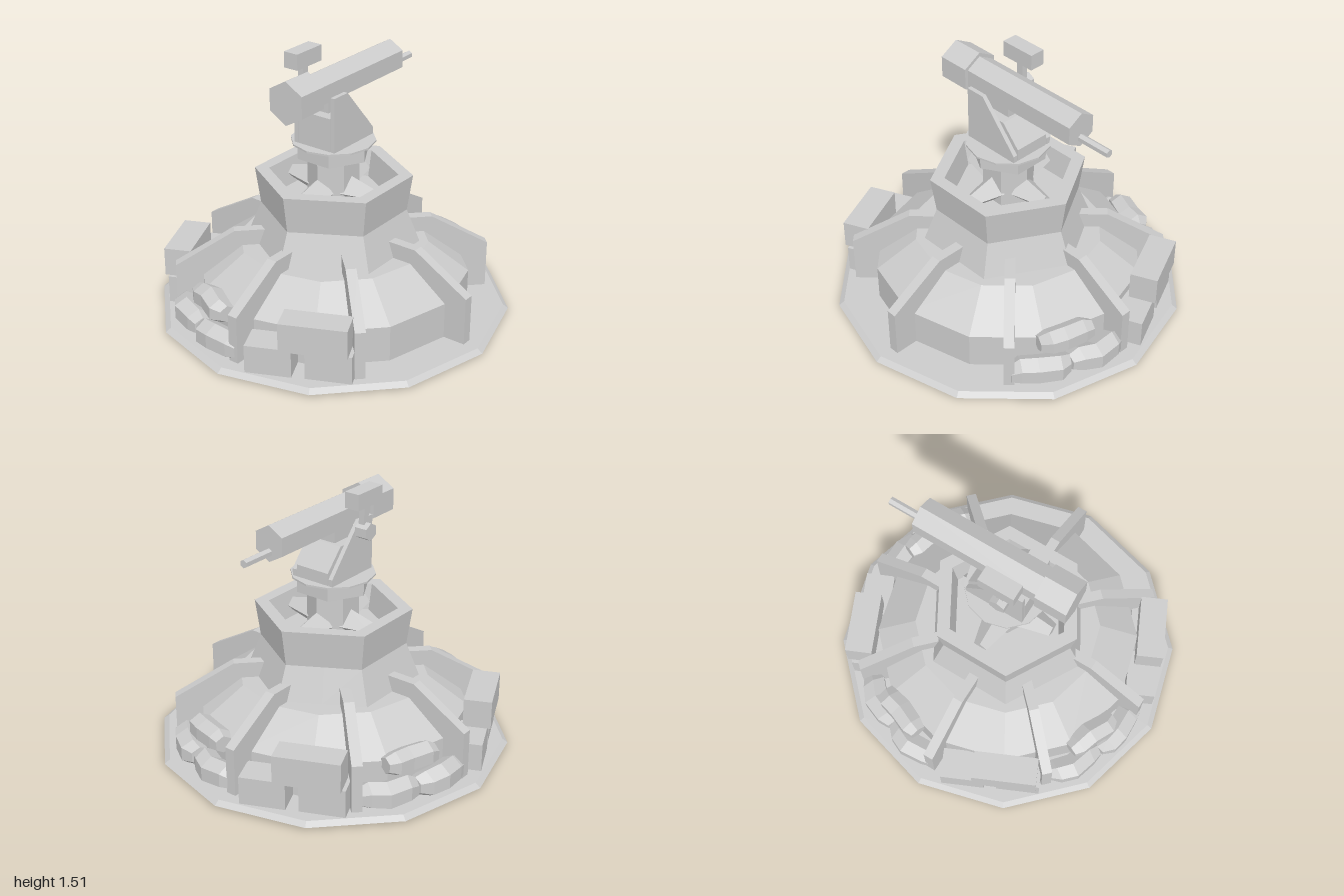
import * as THREE from 'three';

const stone = new THREE.MeshStandardMaterial({ color: 0xcccccc });
stone.name = 'plain grey';

function add(parent, name, geometry, x = 0, y = 0, z = 0) {
  const g = geometry.index ? geometry.toNonIndexed() : geometry;
  g.computeVertexNormals(); // one normal per face: faceted look
  const mesh = new THREE.Mesh(g, stone);
  mesh.name = name;
  mesh.position.set(x, y, z);
  parent.add(mesh);
  return mesh;
}

const box = (w, h, d) => new THREE.BoxGeometry(w, h, d);
const prism = (rTop, rBottom, h, sides) => new THREE.CylinderGeometry(rTop, rBottom, h, sides);

// Plate cut from an outline in x/y, centred on z
function plate(points, thickness) {
  const shape = new THREE.Shape(points.map(p => new THREE.Vector2(p[0], p[1])));
  return new THREE.ExtrudeGeometry(shape, { depth: thickness, bevelEnabled: false })
    .translate(0, 0, -thickness / 2);
}

// Loft of 12-point rings [radius, y, isHexagon]; hexagon rings use edge midpoints
function loft(rings) {
  const pos = [];
  const point = ([r, y, hex], i) => {
    const a = i * Math.PI / 6;
    const k = hex && i % 2 ? r * Math.cos(Math.PI / 6) : r;
    return [k * Math.sin(a), y, k * Math.cos(a)];
  };
  for (let j = 0; j < rings.length - 1; j++) {
    for (let i = 0; i < 12; i++) {
      const a = point(rings[j], i), b = point(rings[j], i + 1);
      const c = point(rings[j + 1], i + 1), d = point(rings[j + 1], i);
      if (rings[j][0] > 0) pos.push(...a, ...b, ...c);
      if (rings[j + 1][0] > 0) pos.push(...a, ...c, ...d);
      else if (rings[j][0] === 0) continue;
    }
  }
  const g = new THREE.BufferGeometry();
  g.setAttribute('position', new THREE.Float32BufferAttribute(pos, 3));
  return g;
}

// Group whose local +x points outward at an angle measured from +x towards +z
function around(parent, name, degrees) {
  const group = new THREE.Group();
  group.name = name;
  group.rotation.y = -THREE.MathUtils.degToRad(degrees);
  parent.add(group);
  return group;
}

// Faceted sandbag lying along z, sagging a little at its ends
function sandbag(length, height, depth, seed) {
  const profile = [[0, -0.5], [0.34, -0.5], [0.48, -0.33], [0.5, 0.05], [0.48, 0.33], [0.32, 0.5], [0, 0.5]];
  const g = new THREE.LatheGeometry(profile.map(p => new THREE.Vector2(p[0], p[1])), 6);
  g.rotateZ(Math.PI / 2).rotateY(Math.PI / 2).rotateZ(Math.PI / 6);
  g.scale(depth, height * 1.12, length);
  const p = g.attributes.position;
  for (let i = 0; i < p.count; i++) {
    const t = p.getZ(i) / length;
    p.setX(i, p.getX(i) + 0.012 * Math.sin(t * 7 + seed) - 0.08 * t * t);
    p.setY(i, p.getY(i) - 0.04 * t * t + 0.006 * Math.sin(t * 9 + seed * 2));
  }
  return g;
}

function addBase(root) {
  // Ground plate, hollowed slightly towards the middle underneath
  add(root, 'groundPlate', loft([[0, 0.06], [1, 0.012], [0.97, 0.035], [0.7, 0.035]]));
  add(root, 'bunkerBody', loft([
    [0.765, 0.005], [0.765, 0.24], [0.535, 0.41], [0.485, 0.41, true], [0.41, 0.6, true],
    [0.44, 0.81, true], [0.36, 0.81, true], [0.33, 0.66, true], [0, 0.66, true],
  ]));

  // Eight buttress fins
  const fin = [[0.3, 0], [0.89, 0], [0.89, 0.31], [0.56, 0.5], [0.34, 0.5]];
  for (let i = 0; i < 8; i++) {
    add(around(root, 'buttress', i * 45), 'buttressFin', plate(fin, 0.058), 0, 0, -0.016);
  }

  // Crates and sandbags on three of the four sides
  for (let i = 0; i < 3; i++) {
    const crates = around(root, 'crateStack', 65 + i * 90.5);
    add(crates, 'lowerCrate', box(0.17, 0.19, 0.25), 0.81, 0.1, 0.155);
    add(crates, 'lowerCrate', box(0.17, 0.19, 0.25), 0.805, 0.1, -0.165);
    add(crates, 'upperCrate', box(0.155, 0.165, 0.364), 0.837, 0.2775, -0.088);

    const bags = around(root, 'sandbagPile', 110 + i * 90.5);
    [-11, 11.5].forEach((turn, k) =>
      add(around(bags, 'lowerSandbags', turn), 'sandbag', sandbag(0.33, 0.145, 0.16, i + k), 0.85, 0.1, 0));
    add(bags, 'upperSandbag', sandbag(0.31, 0.13, 0.15, i + 4), 0.785, 0.235, 0);
  }
}

function addTurret(root) {
  const turret = new THREE.Group();
  turret.name = 'turret';
  root.add(turret);

  // Pedestal with four tapered feet inside the well
  add(turret, 'pedestal', prism(0.145, 0.145, 0.3, 6), 0, 0.78, 0);
  for (let i = 0; i < 4; i++) {
    add(around(turret, 'pedestalFoot', i * 90), 'foot',
      prism(0.04, 0.085, 0.18, 4).rotateZ(-Math.PI / 2), 0.2, 0.735, 0);
  }
  const collar = prism(0.21, 0.21, 0.085, 6).rotateY(Math.PI / 6);
  add(turret, 'collar', collar, 0, 0.9625, 0);
  add(turret, 'turntable', prism(0.235, 0.235, 0.01, 12), 0, 1.006, 0);

  // Cradle: outlines drawn with +x towards the muzzle, then turned to face -z
  const core = [[-0.17, 1.01], [0.18, 1.01], [0.18, 1.08], [0.07, 1.2], [-0.17, 1.2]];
  add(turret, 'cradleCore', plate(core, 0.21).rotateY(Math.PI / 2));
  add(turret, 'cradleNeck', box(0.1, 0.1, 0.16), 0, 1.23, 0.03);
  const cheek = [[-0.17, 1.01], [0.18, 1.01], [0.18, 1.05], [-0.055, 1.32], [-0.17, 1.32]];
  for (const side of [-1, 1]) {
    add(turret, 'cradleCheek', plate(cheek, 0.025).rotateY(Math.PI / 2), side * 0.123, 0, 0);
  }

  // Hexagonal gun along z, muzzle at the back
  const along = (name, r, z0, z1, y) =>
    add(turret, name, prism(r, r, z1 - z0, 6).rotateX(-Math.PI / 2), 0, y, (z0 + z1) / 2);
  along('breech', 0.122, 0.22, 0.405, 1.335);
  along('barrel', 0.1, -0.525, 0.23, 1.335);
  along('muzzleRod', 0.023, -0.72, -0.5, 1.288);

  // Sight on its post
  add(turret, 'sightHead', box(0.09, 0.09, 0.21), -0.163, 1.462, 0.055);
  add(turret, 'sightPost', box(0.036, 0.17, 0.04), -0.16, 1.35, 0.06);
  add(turret, 'sightPivot', prism(0.05, 0.05, 0.075, 6).rotateZ(Math.PI / 2).rotateX(Math.PI / 2),
    -0.172, 1.268, 0.06);
}

export function createModel() {
  const root = new THREE.Group();
  root.name = 'gunEmplacement';
  addBase(root);
  addTurret(root);
  return root;
}
